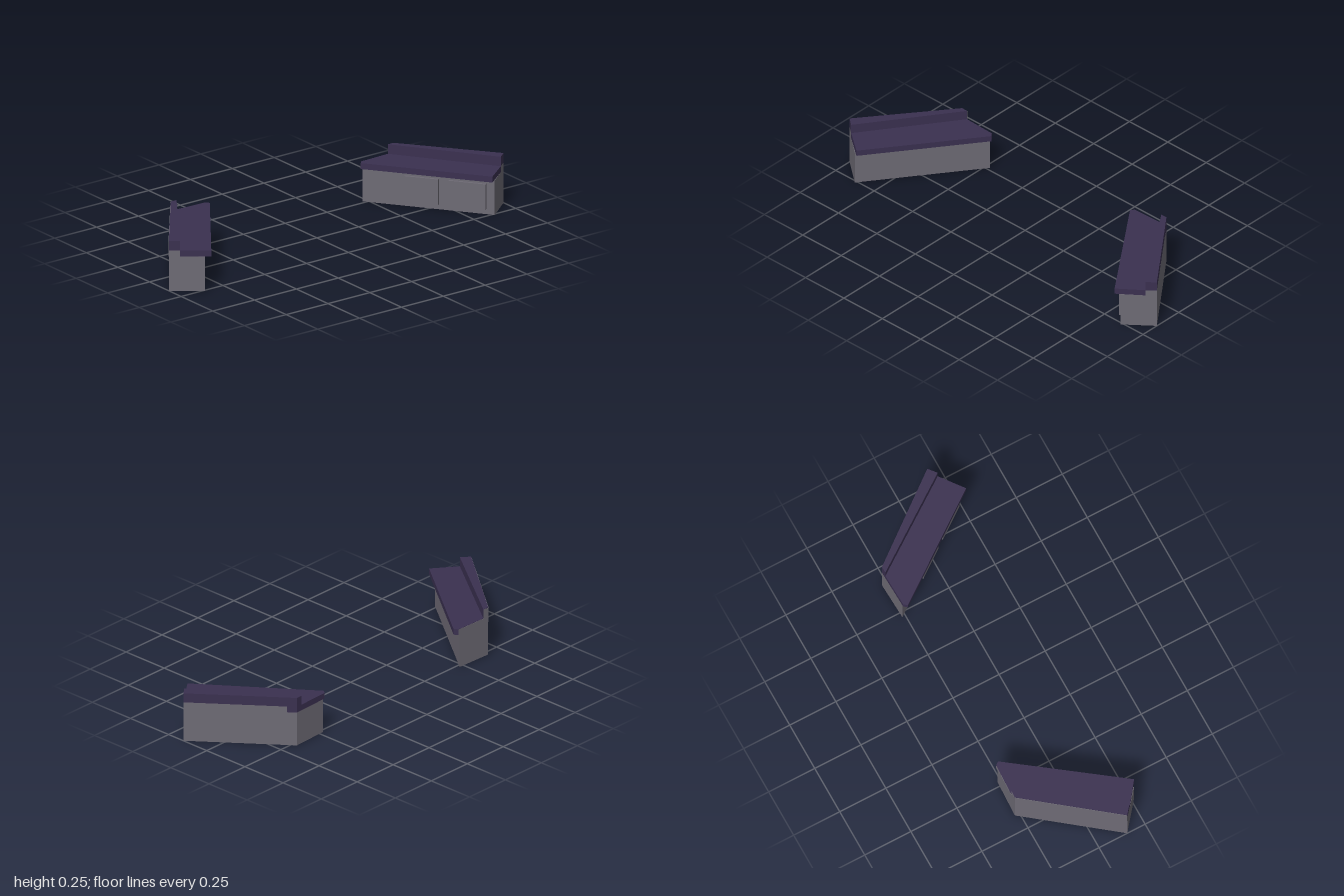
import * as THREE from 'three';

const grey = new THREE.MeshStandardMaterial({ color: 0x6e6b75, flatShading: true });
const dark = new THREE.MeshStandardMaterial({ color: 0x3a3050, flatShading: true });

// Upright prism over a footprint of [x, z] corners; side -1 mirrors it
function prism(name, corners, y0, y1, material, side) {
  const shape = new THREE.Shape(corners.map(([x, z]) => new THREE.Vector2(x * side, -z)));
  const geometry = new THREE.ExtrudeGeometry(shape, { depth: y1 - y0, bevelEnabled: false });
  geometry.rotateX(-Math.PI / 2).translate(0, y0, 0);
  const mesh = new THREE.Mesh(geometry, material);
  mesh.name = name;
  return mesh;
}

// Footprint corners shared by the parts of a counter
const outerFront = [1, 0.153], outerBack = [0.665, -0.275];
const ledgeFront = [0.958, 0.187], ledgeBack = [0.632, -0.274];
const innerFront = [0.865, 0.262], innerBack = [0.475, -0.267];
const dropOuter = [0.694, -0.238], dropInner = [0.658, -0.238];

function counter(side) {
  const group = new THREE.Group();
  group.name = side > 0 ? 'leftCounter' : 'rightCounter';
  const add = (name, corners, y0, y1, material) =>
    group.add(prism(name, corners, y0, y1, material, side));

  add('cabinet', [outerFront, innerFront, innerBack, outerBack], 0, 0.175, grey);
  // Worktop overhanging the inner face
  add('worktop', [ledgeFront, [0.84, 0.277], [0.451, -0.25], [0.465, -0.268], ledgeBack],
    0.175, 0.205, dark);
  // Raised ledge along the outer edge, with a dropped end at the back
  add('ledgeBase', [outerFront, ledgeFront, dropInner, dropOuter], 0.175, 0.205, grey);
  add('ledgeDrop', [dropOuter, dropInner, ledgeBack, outerBack], 0.175, 0.205, dark);
  add('ledge', [outerFront, ledgeFront, ledgeBack, outerBack], 0.205, 0.253, dark);
  return group;
}

// Pair of doors on the inner face of one counter
function addDoors(group) {
  const dx = innerFront[0] - innerBack[0], dz = innerFront[1] - innerBack[1];
  const length = Math.hypot(dx, dz);
  for (const [x0, x1] of [[0.6, 0.7], [0.73, 0.84]]) {
    const door = new THREE.Mesh(
      new THREE.BoxGeometry((x1 - x0) * length / dx, 0.13, 0.024), grey);
    const t = ((x0 + x1) / 2 - innerBack[0]) / dx;
    door.position.set((x0 + x1) / 2, 0.09, innerBack[1] + t * dz);
    door.rotation.y = -Math.atan2(dz, dx);
    door.name = 'door';
    group.add(door);
  }
}

// Thin grey facing on the outer side and back end of the other counter
function addFacing(group) {
  const strip = (name, a, b, nx, nz, top) => {
    const e = 0.002;
    group.add(prism(name, [a, b, [b[0] + nx * e, b[1] + nz * e], [a[0] + nx * e, a[1] + nz * e]],
      0.175, top, grey, -1));
  };
  strip('outerFacing', outerFront, outerBack, 0.79, -0.61, 0.25);
  strip('ledgeEndFacing', outerBack, ledgeBack, 0, -1, 0.25);
  strip('worktopEndFacing', ledgeBack, [0.465, -0.268], 0, -1, 0.203);
}

export function createModel() {
  const model = new THREE.Group();
  model.name = 'counterPair';
  const left = counter(1), right = counter(-1);
  addDoors(left);
  addFacing(right);
  model.add(left, right);
  return model;
}
